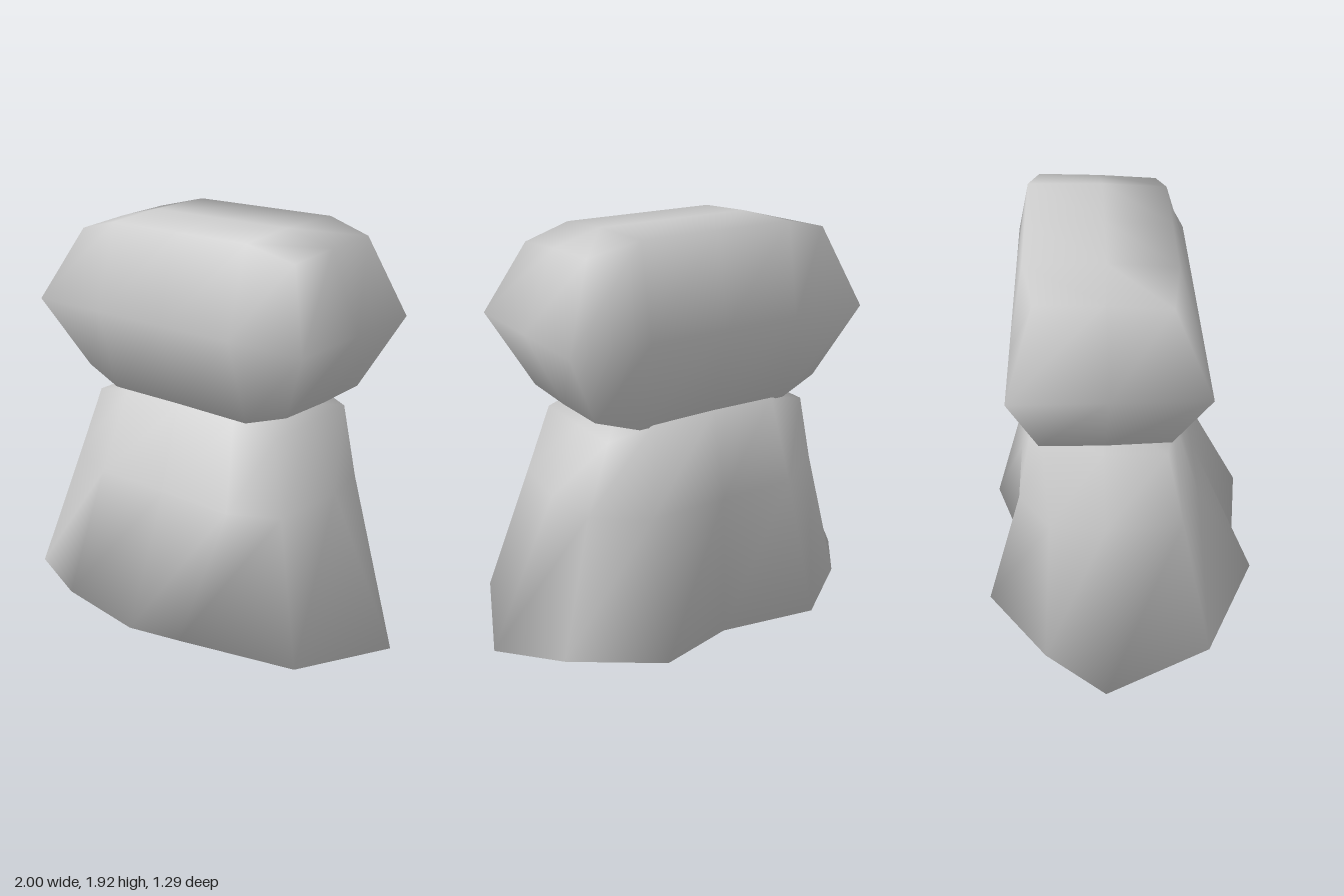
import * as THREE from 'three';
import { mergeVertices } from 'three/addons/utils/BufferGeometryUtils.js';

// Bends a 4 x 2 x 2 box over a mirrored lattice of [x, y, z] points:
// levels run bottom to top, rows back to front, points from the middle to the side.
function cageMesh(name, levels, material) {
  let geo = new THREE.BoxGeometry(4, 2, 2, 4, 2, 2);
  geo.deleteAttribute('uv');
  geo.deleteAttribute('normal');
  geo = mergeVertices(geo);
  const pos = geo.attributes.position;
  for (let i = 0; i < pos.count; i++) {
    const ix = Math.round(pos.getX(i));
    const iy = Math.round(pos.getY(i)) + 1;
    const iz = Math.round(pos.getZ(i)) + 1;
    const [x, y, z] = levels[iy][iz][Math.abs(ix)];
    pos.setXYZ(i, Math.sign(ix) * x, y, z);
  }
  geo.computeVertexNormals();
  const mesh = new THREE.Mesh(geo, material);
  mesh.name = name;
  return mesh;
}

// One lattice row from a point list; the middle point always sits at x = 0
const row = (middle, inner, side) => [[0, ...middle], inner, side];

export function createModel() {
  const group = new THREE.Group();
  group.name = 'draped figure';
  const grey = new THREE.MeshStandardMaterial({ color: 0xcccccc });

  // Wide pillow-shaped head
  group.add(cageMesh('head', [
    [
      row([1.095, -0.39], [0.39, 1.095, -0.39], [0.59, 1.16, -0.36]),
      row([1.087, -0.1], [0.39, 1.087, -0.1], [0.59, 1.155, -0.08]),
      row([1.1, 0.235], [0.39, 1.1, 0.235], [0.59, 1.165, 0.21]),
    ],
    [
      row([1.5, -0.475], [0.38, 1.5, -0.475], [0.76, 1.5, -0.475]),
      row([1.5, -0.06], [0.38, 1.5, -0.06], [0.76, 1.5, -0.06]),
      row([1.5, 0.355], [0.38, 1.5, 0.355], [0.76, 1.5, 0.355]),
    ],
    [
      row([1.92, -0.4], [0.38, 1.92, -0.4], [0.61, 1.865, -0.355]),
      row([1.915, -0.06], [0.38, 1.915, -0.06], [0.61, 1.855, -0.07]),
      row([1.895, 0.235], [0.38, 1.895, 0.235], [0.61, 1.835, 0.2]),
    ],
  ], grey));

  // Flared cloth body with a wavy hem and closed underside
  group.add(cageMesh('body', [
    [
      row([0.02, -0.5], [0.41, 0.072, -0.65], [0.78, 0.055, -0.37]),
      row([0.0, -0.01], [0.4, 0.035, -0.08], [1, 0.035, -0.09]),
      row([0.085, 0.6], [0.34, 0.175, 0.645], [0.8, 0.09, 0.4]),
    ],
    [
      row([0.7, -0.475], [0.38, 0.7, -0.475], [0.62, 0.72, -0.33]),
      row([0.7, -0.06], [0.38, 0.7, -0.06], [0.67, 0.73, -0.08]),
      row([0.7, 0.36], [0.38, 0.7, 0.36], [0.62, 0.72, 0.27]),
    ],
    [
      row([1.11, -0.395], [0.32, 1.105, -0.395], [0.53, 1.05, -0.35]),
      row([1.11, -0.08], [0.32, 1.105, -0.08], [0.53, 1.05, -0.08]),
      row([1.105, 0.235], [0.32, 1.1, 0.235], [0.53, 1.05, 0.2]),
    ],
  ], grey));

  return group;
}
